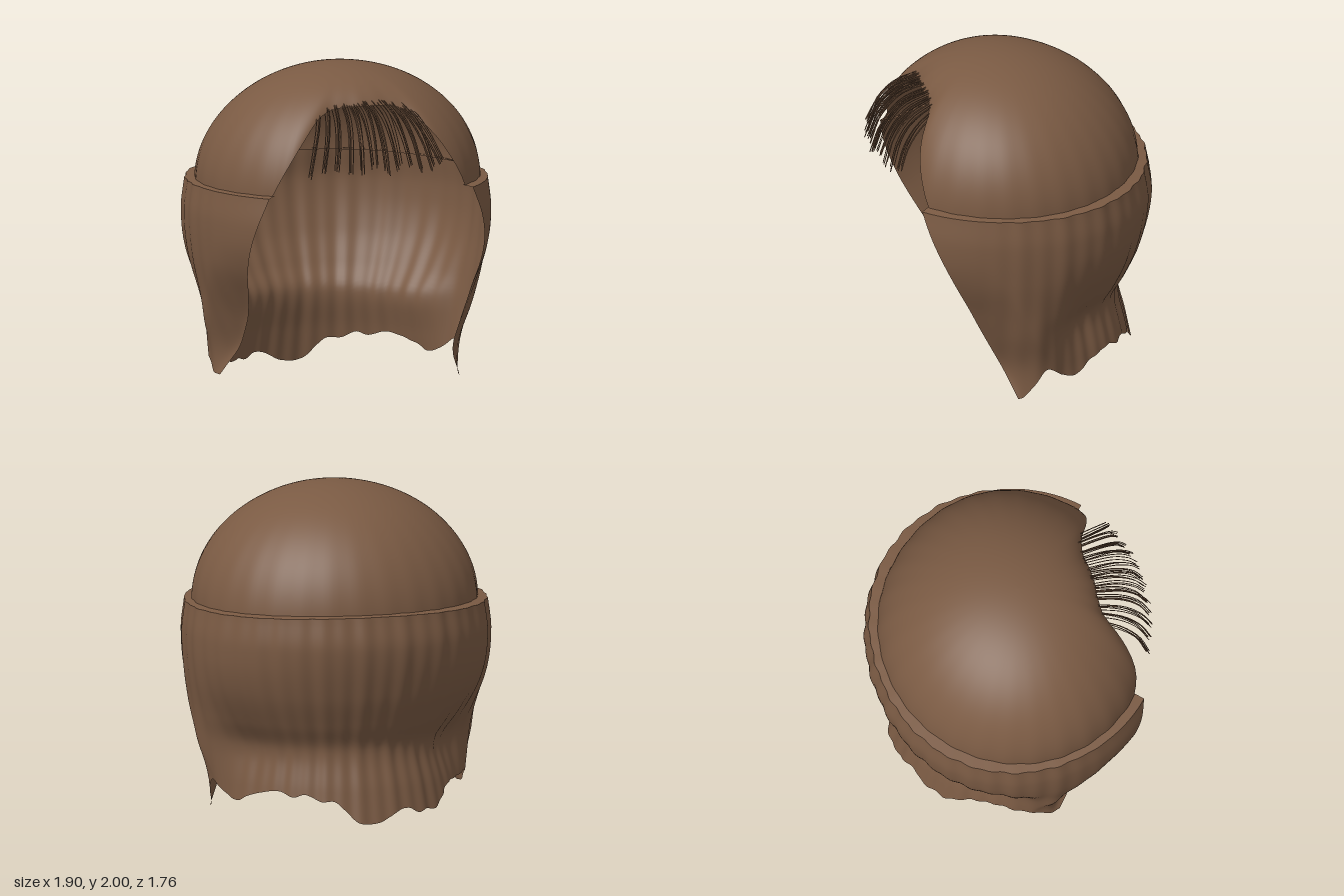
import * as THREE from 'three';
import { mergeGeometries } from 'three/addons/utils/BufferGeometryUtils.js';

const { lerp, clamp, smoothstep } = THREE.MathUtils;

// Smooth curve through [position, value] keys (position ascending)
function curve(keys) {
  const slope = (i) => {
    const a = keys[Math.max(0, i - 1)], b = keys[Math.min(keys.length - 1, i + 1)];
    return (b[1] - a[1]) / (b[0] - a[0]);
  };
  return (x) => {
    const last = keys.length - 1;
    if (x <= keys[0][0]) return keys[0][1];
    if (x >= keys[last][0]) return keys[last][1];
    let i = 0;
    while (x > keys[i + 1][0]) i++;
    const w = keys[i + 1][0] - keys[i][0], t = (x - keys[i][0]) / w, t2 = t * t, t3 = t2 * t;
    return (2 * t3 - 3 * t2 + 1) * keys[i][1] + (t3 - 2 * t2 + t) * w * slope(i)
      + (3 * t2 - 2 * t3) * keys[i + 1][1] + (t3 - t2) * w * slope(i + 1);
  };
}

// Smooth sheet from a rule point(u, v), both 0..1
function sheet(point, nu, nv) {
  const pos = [], index = [];
  for (let j = 0; j <= nv; j++)
    for (let i = 0; i <= nu; i++) pos.push(...point(i / nu, j / nv));
  for (let j = 0; j < nv; j++)
    for (let i = 0; i < nu; i++) {
      const a = j * (nu + 1) + i, b = a + nu + 1;
      index.push(a, a + 1, b, a + 1, b + 1, b);
    }
  const geo = new THREE.BufferGeometry();
  geo.setAttribute('position', new THREE.Float32BufferAttribute(pos, 3));
  geo.setIndex(index);
  geo.computeVertexNormals();
  return geo;
}

// Distance from the axis by height, at the sides and at the back
const sideRadius = curve([[0, 0.785], [0.2, 0.825], [0.4, 0.865], [0.6, 0.89], [0.85, 0.932], [1.1, 0.948], [1.28, 0.928]]);
const backRadius = curve([[0, 0.76], [0.2, 0.72], [0.45, 0.67], [0.6, 0.735], [0.8, 0.815], [1.1, 0.875], [1.31, 0.845]]);

// Uneven hem from the right front tip (-1) round the back to the left front tip (1)
const hem = curve([[-1, 0.1], [-0.95, 0.11], [-0.87, 0.19], [-0.72, 0.18], [-0.6, 0.17], [-0.5, 0.11], [-0.42, 0.05],
  [-0.35, 0.06], [-0.3, 0.045], [-0.24, 0.08], [-0.17, 0.065], [-0.08, 0.01], [0.03, 0.01], [0.1, 0.09], [0.15, 0.14],
  [0.22, 0.14], [0.3, 0.18], [0.36, 0.16], [0.45, 0.19], [0.55, 0.17], [0.63, 0.14], [0.7, 0.1], [0.78, 0.13],
  [0.87, 0.2], [0.93, 0.09], [0.97, 0.02], [1, 0.004]]);

// Inward curl of the front flaps, from rim (0) to hem (1)
const curl = curve([[0, 0], [0.25, 0], [0.4, 0.03], [0.55, 0.08], [0.7, 0.12], [0.85, 0.11], [1, 0.015]]);

// Edge height of the face opening by angle from the front
const opening = curve([[0, 1.8], [0.3, 1.79], [0.47, 1.74], [0.58, 1.62], [0.69, 1.45], [0.79, 1.28]]);

const backWeight = (a) => Math.max(0, Math.cos(a)) ** 2;
const rimHeight = (a) => 1.28 + 0.025 * backWeight(a);

// Point on the hanging hair; angle 0 is the back, positive toward +x
function hairPoint(a, y, inset = 0) {
  // The hollow of the neck reaches further round the sides low down
  const neck = 1 - smoothstep(y, 0.35, 1);
  const weight = lerp(backWeight(a), smoothstep(Math.cos(a), -0.05, 0.52), neck);
  const ripple = (0.004 * Math.sin(a * 42) + 0.003 * Math.sin(a * 23 + 1)) * (1 - smoothstep(Math.abs(a), 1.5, 2.1));
  const lean = 0.015 * Math.sin(a) * Math.exp(-(((y - 0.45) / 0.25) ** 2));
  const corner = 0.008 * Math.sin(2 * a) ** 2 * (1 - neck);
  const r = lerp(sideRadius(y), backRadius(y), weight) + ripple + lean + corner - inset;
  return [r * Math.sin(a), y, -r * Math.cos(a)];
}

function capPoint(u, v) {
  const a = (u * 2 - 1) * Math.PI, front = Math.PI - Math.abs(a);
  const end = front < 0.79 ? opening(front) : rimHeight(a) - 0.005;
  const low = Math.acos(clamp((end - 1.28) / 0.72, 0, 1));
  const t = v * low, r = Math.sin(t);
  // Faint strands, and slightly flattened diagonals
  const wave = 1 + 0.003 * Math.sin(a * 30) * v * v - 0.02 * Math.sin(2 * a) ** 2 * Math.sin(2 * t);
  const dent = 0.09 * Math.exp(-((front / 0.55) ** 4)) * v ** 3;
  return [0.88 * r * wave * Math.sin(a), 1.28 + 0.72 * Math.cos(t),
    0.03 + 0.035 * Math.cos(t) - 0.83 * r * wave * Math.cos(a) - dent];
}

export function createModel() {
  const group = new THREE.Group();
  const hair = new THREE.MeshStandardMaterial({ color: 0x7a5a43, side: THREE.DoubleSide });
  hair.name = 'brown hair';
  const add = (name, geo) => {
    const mesh = new THREE.Mesh(geo, hair);
    mesh.name = name;
    group.add(mesh);
  };

  // Domed crown with the face opening
  add('crown', sheet(capPoint, 160, 40));

  // Hanging hair round the sides and back, its front flaps curling inward
  add('hangingHair', sheet((u, v) => {
    const s = u * 2 - 1;
    const reach = 2.36 - 0.68 * v + (s < 0 ? 0.07 * Math.sin(Math.PI * v) : 0);
    const p = hairPoint(s * reach, lerp(rimHeight(s * 2.36), hem(s), v));
    p[0] -= Math.sign(s) * curl(v) * smoothstep(Math.abs(s), 0.84, 1);
    return p;
  }, 240, 44));

  // Ledge joining the hanging hair to the crown
  add('rimLedge', sheet((u, v) => {
    const a = (u * 2 - 1) * 2.36;
    const p = hairPoint(a, rimHeight(a), 0.07 * (1 - v));
    p[1] += 0.008 * (1 - v);
    return p;
  }, 240, 2));

  // Fringe: clumps of fine strands arching forward and down
  let seed = 7;
  const rand = () => (seed = (seed * 16807) % 2147483647) / 2147483647 - 0.5;
  const strands = [];
  const clumps = 12;
  for (let c = 0; c < clumps; c++) {
    const s = (c / (clumps - 1)) * 2 - 1;
    const tipY = 1.45 + rand() * 0.05;
    for (let k = 0; k < 6; k++) {
      const dx = rand() * 0.05, dy = rand() * 0.05, dz = rand() * 0.05;
      const rootX = 0.28 * s + dx, tipX = 0.43 * s + dx * 0.7;
      const rootZ = 0.5 - 0.02 * s * s + dz, tipZ = 0.86 - 0.1 * s * s + dz * 0.6;
      const path = new THREE.CatmullRomCurve3([
        new THREE.Vector3(rootX, 1.82 - 0.03 * s * s + dy * 0.5, rootZ),
        new THREE.Vector3(lerp(rootX, tipX, 0.35), 1.75 - 0.05 * s * s + dy, lerp(rootZ, tipZ, 0.5)),
        new THREE.Vector3(lerp(rootX, tipX, 0.68), 1.62 - 0.03 * s * s + dy, lerp(rootZ, tipZ, 0.82)),
        new THREE.Vector3(tipX, tipY + dy, tipZ),
      ]);
      strands.push(new THREE.TubeGeometry(path, 10, 0.003, 4));
    }
  }
  add('fringe', mergeGeometries(strands));

  return group;
}
